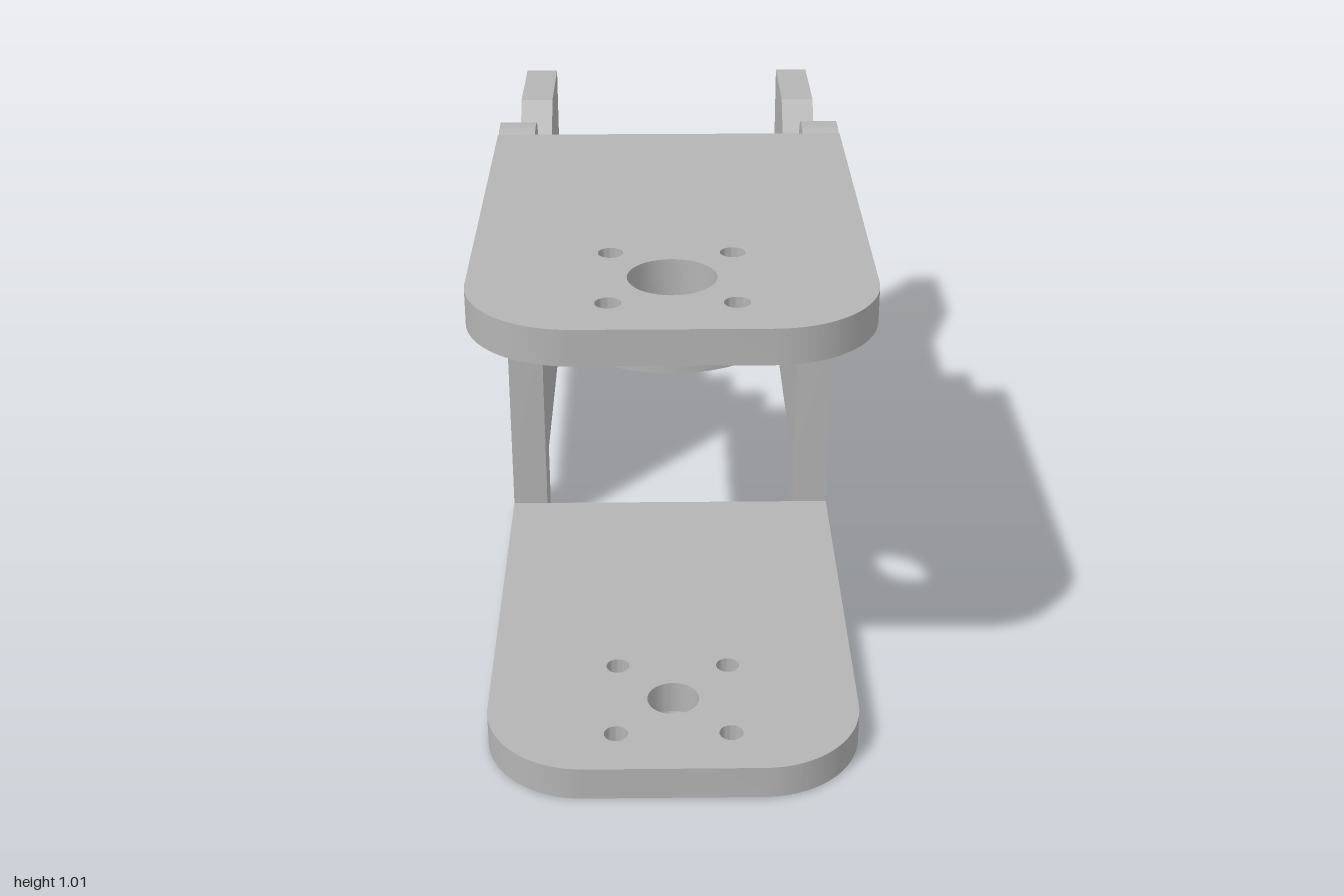
import * as THREE from 'three';
import { toCreasedNormals } from 'three/addons/utils/BufferGeometryUtils.js';

const CX = -0.033;      // middle of the bracket
const HALF = 0.377;     // half width of the bracket
const HOLE_Z = 0.773;   // axis of the servo horn

const circle = (x, y, r) => new THREE.Path().absarc(x, y, r, 0, Math.PI * 2, true);

function extrude(shape, depth) {
  return new THREE.ExtrudeGeometry(shape, { depth, bevelEnabled: false, curveSegments: 20 });
}

// Flat plate drawn in x/z, lying between top - thickness and top
function layFlat(shape, top, thickness) {
  const g = extrude(shape, thickness).rotateX(Math.PI / 2).translate(0, top, 0);
  return toCreasedNormals(g, 0.6);
}

// Horn plate with rounded front corners, a centre hole and four screw holes
function hornPlate(top, holeRadius) {
  const l = CX - HALF, r = CX + HALF, c = 0.2;
  const s = new THREE.Shape();
  s.moveTo(l, -0.02);
  s.lineTo(r, -0.02);
  s.lineTo(r, 1 - c);
  s.absarc(r - c, 1 - c, c, 0, Math.PI / 2, false);
  s.absarc(l + c, 1 - c, c, Math.PI / 2, Math.PI, false);
  s.closePath();
  s.holes.push(circle(CX, HOLE_Z, holeRadius));
  for (const dx of [-0.115, 0.115])
    for (const dz of [-0.115, 0.115]) s.holes.push(circle(CX + dx, HOLE_Z + dz, 0.024));
  return layFlat(s, top, 0.07);
}

// Side wall drawn in z/y, with its outer or inner face at xMax
function sideWall(xMax, slotted) {
  const f = -0.02, b = -0.14, h = 1.01, c = 0.045;
  const s = new THREE.Shape();
  s.moveTo(f, c);
  s.lineTo(f, h - c);
  s.absarc(f - c, h - c, c, 0, Math.PI / 2, false);
  s.absarc(b + c, h - c, c, Math.PI / 2, Math.PI, false);
  for (const [z, y] of [[b, 0.853], [-0.322, 0.853], [-0.322, 0.718], [-0.612, 0.718],
    [-0.745, 0.853], [-1, 0.853], [-1, 0.16], [b, 0.16]]) s.lineTo(z, y);
  s.absarc(b + c, c, c, Math.PI, Math.PI * 1.5, false);
  s.absarc(f - c, c, c, Math.PI * 1.5, Math.PI * 2, false);
  if (slotted) {
    s.holes.push(new THREE.Path([[-0.155, 0.423], [-0.155, 0.59], [-0.23, 0.59], [-0.23, 0.423]]
      .map(([z, y]) => new THREE.Vector2(z, y))));
  }
  const g = extrude(s, 0.08).rotateY(-Math.PI / 2).translate(xMax, 0, 0);
  return toCreasedNormals(g, 0.6);
}

export function createModel() {
  const model = new THREE.Group();
  model.name = 'servoBracket';
  const grey = new THREE.MeshStandardMaterial({ color: 0xb4b4b4 });
  grey.name = 'grey plastic';

  const add = (name, geometry) => {
    const mesh = new THREE.Mesh(geometry, grey);
    mesh.name = name;
    model.add(mesh);
  };

  add('topPlate', hornPlate(1.01, 0.083));
  add('bottomPlate', hornPlate(0.072, 0.053));

  // Ring under the top plate
  const ring = new THREE.Shape().absarc(CX, HOLE_Z, 0.208, 0, Math.PI * 2, false);
  ring.holes.push(circle(CX, HOLE_Z, 0.083));
  add('hornRing', layFlat(ring, 0.94, 0.024));

  add('leftWall', sideWall(CX + HALF, true));
  add('rightWall', sideWall(CX - HALF + 0.08, false));

  // Cable tab on the outside of the left wall
  add('cableTab', new THREE.BoxGeometry(0.065, 0.203, 0.082).translate(0.3745, 0.506, -0.55));

  return model;
}
